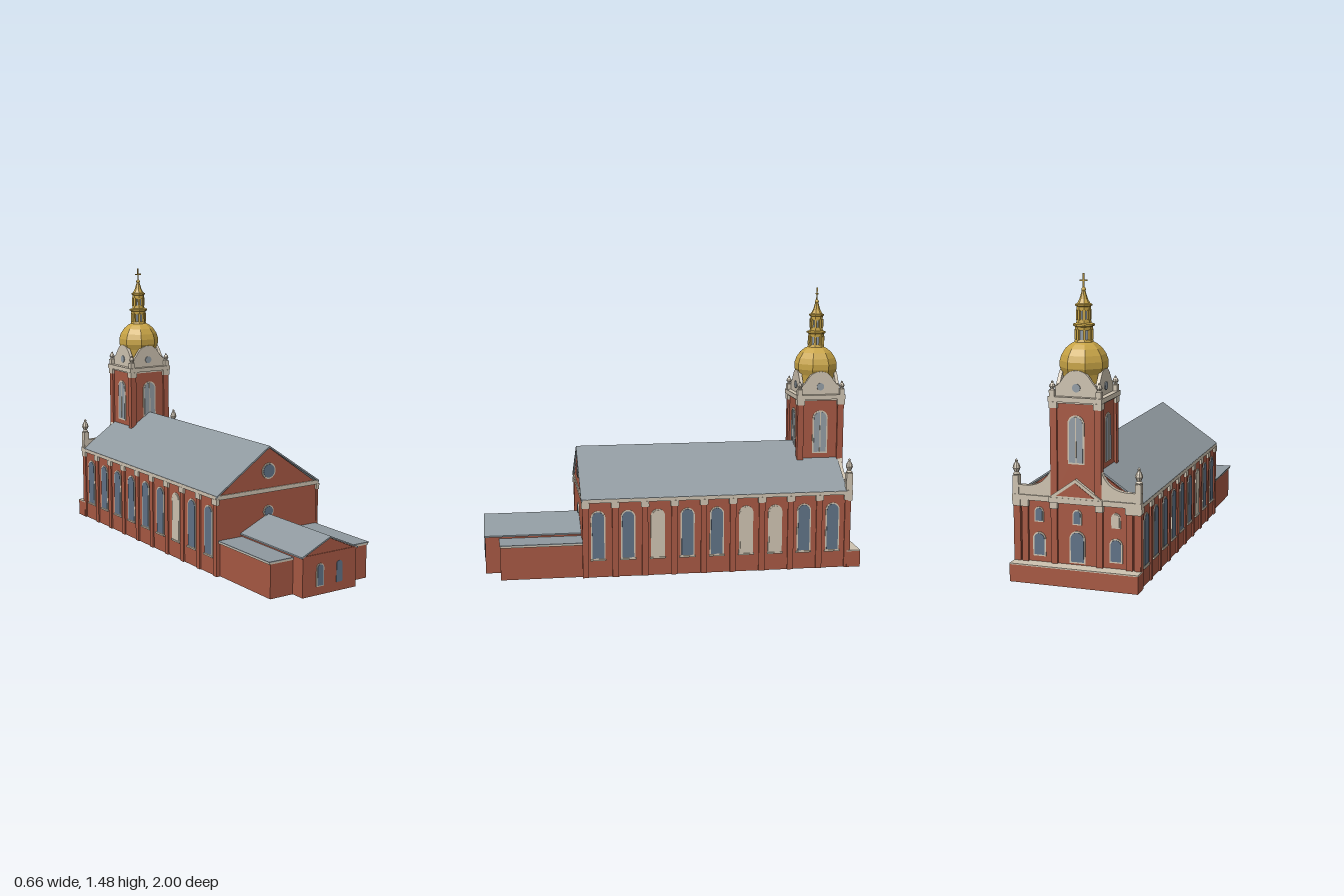
import * as THREE from 'three';

const mat = (name, color, side = THREE.FrontSide) => {
  const m = new THREE.MeshStandardMaterial({ color, side });
  m.name = name;
  return m;
};
const brick = mat('brick', 0xa65843, THREE.DoubleSide);
const stone = mat('stone', 0xcdc2b0);
const slate = mat('slate', 0x8f999f, THREE.DoubleSide);
const gold = mat('gold', 0xc8a446);
const glass = mat('window glass', 0x607286);
const paleGlass = mat('tower glass', 0x929ca4);

function add(parent, name, geo, material, x = 0, y = 0, z = 0) {
  const m = new THREE.Mesh(geo, material);
  m.name = name;
  m.position.set(x, y, z);
  parent.add(m);
  return m;
}
// Box given by its centre in x and z and its bottom and top in y
const block = (p, name, material, w, d, y0, y1, x = 0, z = 0) =>
  add(p, name, new THREE.BoxGeometry(w, y1 - y0, d), material, x, (y0 + y1) / 2, z);

const polygon = pts => new THREE.Shape(pts.map(p => new THREE.Vector2(p[0], p[1])));
const extrude = (shape, depth) =>
  new THREE.ExtrudeGeometry(shape, { depth, bevelEnabled: false, curveSegments: 12 });

// Turned part with flat facets
function turned(points, sides) {
  const g = new THREE.LatheGeometry(points.map(p => new THREE.Vector2(p[0], p[1])), sides, Math.PI / sides).toNonIndexed();
  g.computeVertexNormals();
  return g;
}

// Hollow walls, open at top and bottom
function hollowWalls(p, name, x0, x1, z0, z1, h, t = 0.006) {
  const rect = i => [[x0 + i, -z1 + i], [x1 - i, -z1 + i], [x1 - i, -z0 - i], [x0 + i, -z0 - i]];
  const s = polygon(rect(0));
  s.holes.push(new THREE.Path(rect(t).map(q => new THREE.Vector2(q[0], q[1]))));
  add(p, name, extrude(s, h).rotateX(-Math.PI / 2), brick);
}

// Gabled roof sheet along z
function gableRoof(p, name, half, eave, ridge, z0, z1, t) {
  const s = polygon([[half, eave], [0, ridge], [-half, eave], [-half, eave - t], [0, ridge - t], [half, eave - t]]);
  add(p, name, extrude(s, z1 - z0), slate, 0, 0, z0);
}

function archShape(w, h) {
  const r = w / 2, s = new THREE.Shape();
  s.moveTo(-r, 0);
  s.lineTo(r, 0);
  s.lineTo(r, h - r);
  s.absarc(0, h - r, r, 0, Math.PI, false);
  s.lineTo(-r, 0);
  return s;
}

// Arched window facing +z, turned by angle
function archWindow(p, name, w, h, pane, x, y, z, angle = 0, frame = 0.007, mullion = false) {
  const g = new THREE.Group();
  g.name = name;
  if (frame) add(g, 'windowFrame', extrude(archShape(w, h), 0.005), stone);
  add(g, 'windowPane', extrude(archShape(w - 2 * frame, h - 2 * frame), 0.007), pane, 0, frame, 0);
  if (mullion) block(g, 'mullion', stone, 0.005, 0.008, frame, h - frame, 0, 0.005);
  g.position.set(x, y, z);
  g.rotation.y = angle;
  p.add(g);
}

function roundWindow(p, name, r, frame, pane, x, y, z, angle = 0) {
  const g = new THREE.Group();
  g.name = name;
  const disc = (rad, d) => new THREE.CylinderGeometry(rad, rad, d, 24).rotateX(Math.PI / 2);
  if (frame) add(g, 'roundFrame', disc(r + frame, 0.008), stone);
  add(g, 'roundPane', disc(r, 0.009), pane, 0, 0, 0.001);
  g.position.set(x, y, z);
  g.rotation.y = angle;
  p.add(g);
}

function nave(root) {
  const g = new THREE.Group();
  g.name = 'nave';
  root.add(g);
  hollowWalls(g, 'naveWalls', -0.316, 0.316, -0.93, 0.49, 0.41);
  const gable = polygon([[-0.318, 0.405], [0.318, 0.405], [0, 0.632]]);
  add(g, 'frontGable', extrude(gable, 0.008), brick, 0, 0, 0.482);
  add(g, 'backGable', extrude(gable, 0.008), brick, 0, 0, -0.92);
  gableRoof(g, 'naveRoof', 0.326, 0.42, 0.642, -0.92, 0.5, 0.01);
  block(g, 'frontCornice', stone, 0.65, 0.014, 0.398, 0.42, 0, 0.489);
  roundWindow(g, 'gableWindow', 0.035, 0.007, glass, 0, 0.51, 0.491);
  roundWindow(g, 'lowerRoundWindow', 0.026, 0.006, glass, 0, 0.297, 0.491);
  // Bays along both sides; some windows are walled up
  for (const s of [1, -1]) {
    const blind = s > 0 ? [2, 5, 6] : [2];
    block(g, 'sideCornice', stone, 0.014, 1.42, 0.4, 0.418, s * 0.32, -0.22);
    for (let i = 0; i < 10; i++) {
      const z = 0.478 - 0.156 * i;
      block(g, 'pilaster', brick, 0.012, 0.032, 0, 0.375, s * 0.318, z);
      block(g, 'capital', stone, 0.02, 0.042, 0.372, 0.402, s * 0.318, z);
      if (i < 9) {
        const zc = 0.412 - 0.157 * i;
        archWindow(g, 'sideWindow', 0.076, 0.262, blind.includes(i) ? stone : glass, s * 0.314, 0.095, zc, s * Math.PI / 2);
        block(g, 'sill', stone, 0.012, 0.084, 0.09, 0.098, s * 0.318, zc);
      }
    }
  }
}

function annex(root) {
  const g = new THREE.Group();
  g.name = 'annex';
  root.add(g);
  hollowWalls(g, 'centreWalls', -0.165, 0.165, 0.49, 0.995, 0.2);
  add(g, 'centreGable', extrude(polygon([[-0.165, 0.198], [0.165, 0.198], [0, 0.274]]), 0.006), brick, 0, 0, 0.989);
  block(g, 'centreCornice', brick, 0.338, 0.01, 0.196, 0.206, 0, 0.994);
  gableRoof(g, 'centreRoof', 0.174, 0.205, 0.284, 0.49, 1, 0.008);
  archWindow(g, 'framedWindow', 0.046, 0.115, glass, -0.06, 0.043, 0.994, 0, 0.005);
  archWindow(g, 'plainWindow', 0.036, 0.108, glass, 0.06, 0.045, 0.991, 0, 0);
  for (const s of [1, -1]) {
    hollowWalls(g, 'wingWalls', s > 0 ? 0.16 : -0.3, s > 0 ? 0.3 : -0.16, 0.49, 0.918, 0.176);
    block(g, 'wingCornice', stone, 0.146, 0.43, 0.173, 0.182, s * 0.235, 0.705);
    block(g, 'wingRoof', slate, 0.15, 0.434, 0.182, 0.187, s * 0.236, 0.705);
  }
}

const finialProfile = [[0.014, 0], [0.018, 0.006], [0.01, 0.014], [0.019, 0.034], [0.014, 0.052], [0.006, 0.064], [0.007, 0.072], [0, 0.08]];

function facade(root) {
  const g = new THREE.Group();
  g.name = 'entranceFacade';
  root.add(g);
  hollowWalls(g, 'plinth', -0.325, 0.325, -1, -0.925, 0.086);
  block(g, 'plinthTop', stone, 0.65, 0.075, 0.086, 0.092, 0, -0.9625);
  block(g, 'facadeCornice', stone, 0.656, 0.03, 0.398, 0.424, 0, -0.936);
  block(g, 'portalCornice', stone, 0.27, 0.03, 0.398, 0.424, 0, -0.945);
  // Pediment with brick field
  add(g, 'pediment', extrude(polygon([[-0.135, 0.424], [0.135, 0.424], [0, 0.52]]), 0.02), stone, 0, 0, -0.958);
  add(g, 'pedimentField', extrude(polygon([[-0.095, 0.434], [0.095, 0.434], [0, 0.502]]), 0.006), brick, 0, 0, -0.961);
  for (const x of [-0.305, -0.265, -0.115, 0.115, 0.265, 0.305]) {
    block(g, 'facadePilaster', brick, 0.032, 0.018, 0.09, 0.37, x, -0.934);
    block(g, 'facadeCapital', stone, 0.038, 0.026, 0.365, 0.4, x, -0.936);
  }
  for (const x of [-0.195, 0, 0.195]) {
    const mid = x === 0;
    archWindow(g, 'lowerOpening', mid ? 0.08 : 0.066, mid ? 0.16 : 0.12, glass, x, mid ? 0.1 : 0.12, -0.929, Math.PI);
    archWindow(g, 'upperOpening', 0.046, 0.075, x < 0 ? stone : glass, x, 0.29, -0.929, Math.PI, 0.006);
  }
  // Sweeping parapets with corner finials
  for (const s of [1, -1]) {
    const p = new THREE.Shape();
    p.moveTo(s * 0.325, 0.42);
    p.lineTo(s * 0.325, 0.47);
    p.lineTo(s * 0.25, 0.47);
    p.quadraticCurveTo(s * 0.15, 0.475, s * 0.12, 0.58);
    p.lineTo(s * 0.12, 0.42);
    add(g, 'parapet', extrude(p, 0.024), stone, 0, 0, -0.944);
    block(g, 'finialPedestal', stone, 0.03, 0.034, 0.42, 0.515, s * 0.309, -0.932);
    add(g, 'cornerFinial', turned(finialProfile, 8), stone, s * 0.309, 0.515, -0.932);
  }
}

function tower(root) {
  const g = new THREE.Group();
  g.name = 'tower';
  g.position.z = -0.82;
  root.add(g);
  block(g, 'towerShaft', brick, 0.234, 0.234, 0.42, 0.885);
  block(g, 'towerFrieze', stone, 0.25, 0.25, 0.878, 0.892);
  block(g, 'towerCornice', stone, 0.27, 0.27, 0.886, 0.91);
  block(g, 'atticFloor', stone, 0.2, 0.2, 0.91, 0.965);
  for (const sx of [1, -1]) for (const sz of [1, -1]) {
    block(g, 'towerPilaster', brick, 0.034, 0.034, 0.42, 0.86, sx * 0.111, sz * 0.111);
    block(g, 'towerCapital', stone, 0.042, 0.042, 0.855, 0.885, sx * 0.111, sz * 0.111);
    block(g, 'pinnaclePedestal', stone, 0.026, 0.026, 0.91, 0.94, sx * 0.117, sz * 0.117);
    add(g, 'towerPinnacle', turned(finialProfile, 8).scale(0.8, 0.58, 0.8), stone, sx * 0.117, 0.938, sz * 0.117);
  }
  // Curved attic gable and tall window on each side
  const s = new THREE.Shape();
  s.moveTo(-0.108, 0.908);
  s.lineTo(0.108, 0.908);
  s.lineTo(0.108, 0.955);
  s.bezierCurveTo(0.07, 0.965, 0.07, 1.034, 0, 1.034);
  s.bezierCurveTo(-0.07, 1.034, -0.07, 0.965, -0.108, 0.955);
  for (let i = 0; i < 4; i++) {
    const side = new THREE.Group();
    side.name = 'towerSide';
    side.rotation.y = i * Math.PI / 2;
    g.add(side);
    add(side, 'atticGable', extrude(s, 0.018), stone, 0, 0, 0.09);
    roundWindow(side, 'atticWindow', 0.02, 0, paleGlass, 0, 0.952, 0.107);
    archWindow(side, 'belfryWindow', 0.084, 0.236, paleGlass, 0, 0.588, 0.115, 0, 0.008, true);
  }
  // Eight-sided dome, lantern and spire
  const gilded = (name, pts) => add(g, name, turned(pts, 8), gold);
  gilded('dome', [[0.095, 0.96], [0.104, 1.01], [0.116, 1.04], [0.116, 1.07], [0.106, 1.1], [0.086, 1.13], [0.062, 1.15], [0.046, 1.158], [0.042, 1.17], [0, 1.17]]);
  const lantern = (r, y0, y1) => {
    add(g, 'lanternGlass', turned([[r * 0.85, y0], [r * 0.85, y1]], 8), paleGlass);
    for (let i = 0; i < 8; i++) {
      const a = (i + 0.5) * Math.PI / 4;
      block(g, 'lanternPost', gold, 0.013, 0.013, y0, y1, Math.sin(a) * r * 0.9, Math.cos(a) * r * 0.9).rotation.y = a;
    }
  };
  lantern(0.042, 1.168, 1.218);
  gilded('lowerLedge', [[0.042, 1.214], [0.043, 1.23], [0.052, 1.235], [0.052, 1.243], [0.036, 1.248], [0.034, 1.265], [0, 1.265]]);
  lantern(0.034, 1.262, 1.31);
  gilded('spire', [[0.034, 1.305], [0.034, 1.325], [0.041, 1.329], [0.041, 1.336], [0.031, 1.34], [0.02, 1.36], [0.011, 1.39], [0.008, 1.4], [0, 1.4]]);
  add(g, 'orb', new THREE.SphereGeometry(0.011, 12, 8), gold, 0, 1.405, 0);
  block(g, 'crossPost', gold, 0.006, 0.006, 1.405, 1.48);
  block(g, 'crossArm', gold, 0.038, 0.006, 1.443, 1.45);
}

export function createModel() {
  const root = new THREE.Group();
  root.name = 'church';
  nave(root);
  annex(root);
  facade(root);
  tower(root);
  return root;
}
